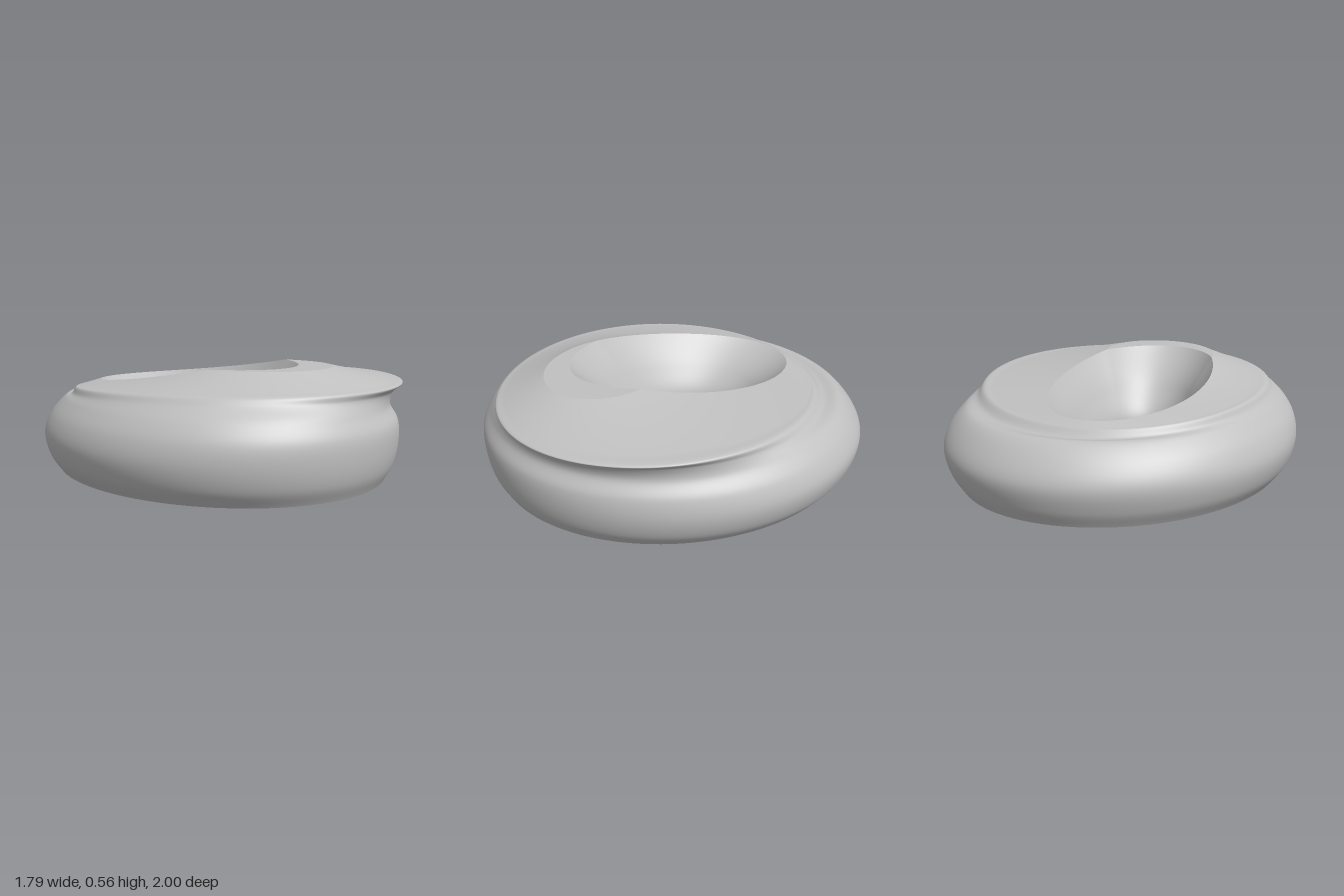
import * as THREE from 'three';

const SEG = 128;
const CLIP = 0.56; // height of the flat facet on the crest
const V = (x, y, z) => new THREE.Vector3(x, y, z);

// Cross-section rings, all sharing the angle t (from +x towards +z)
const body = (t, sx, sz, y) => V((0.893 * Math.cos(t) - 0.05 * Math.sin(t)) * sx, y, Math.sin(t) * sz);
const lip = (t) => {
  const s = Math.sin(t);
  return V(0.035 + 0.765 * Math.cos(t) + 0.06 * s, 0.437 + 0.035 * s + 0.025 * Math.cos(t) ** 2, 0.1 + 0.855 * s);
};
const rim = (t) => {
  const z = -0.085 + 0.615 * Math.sin(t);
  return V(-0.085 + 0.385 * Math.cos(t), 0.51 + 0.16 * z + 0.06 * z * z, z);
};
const throat = (t) => V(-0.087 + 0.202 * Math.cos(t), 0.17, -0.0625 + 0.283 * Math.sin(t));
const baseHole = (t) => V(-0.05 + 0.265 * Math.cos(t), 0, -0.03 + 0.365 * Math.sin(t));

// Fraction of the way from lip to rim where the crest is cut flat
const cut = (t) => {
  const a = lip(t).y, b = rim(t).y;
  return b > CLIP ? (CLIP - a) / (b - a) : 1;
};

// Outer wall, the undercut below the lip, then the sloping top
function outerProfile(t) {
  const upper = 0.91 + 0.045 * Math.sin(t);
  const u = body(t, upper, upper, 0.37);
  const l = lip(t), r = rim(t), c = cut(t);
  const inset = 1 - 0.022 * Math.max(0, Math.cos(t - 1.05));
  const groove = u.clone().lerp(l, 0.65);
  groove.x *= inset;
  groove.z *= inset;
  groove.y = l.y - 0.035;
  const pts = [body(t, 0.905, 0.94, 0), body(t, 0.97, 0.98, 0.08), body(t, 1, 1, 0.19),
    body(t, (1 + upper) / 2 + 0.018, (1 + upper) / 2 + 0.018, 0.29), u, groove, l];
  for (const k of [0.15, 0.4, 0.7, 1]) pts.push(l.clone().lerp(r, k * c));
  return new THREE.CatmullRomCurve3(pts).getPoints(80);
}

// Flat facet between the sloping top and the funnel edge
function facetProfile(t) {
  const a = lip(t).lerp(rim(t), cut(t)), b = rim(t);
  b.y = Math.min(b.y, CLIP);
  return [a, b];
}

// Funnel narrowing to a throat and flaring again at the base
function funnelProfile(t) {
  const r = rim(t), th = throat(t);
  r.y = Math.min(r.y, CLIP);
  const mid = r.clone().lerp(th, 0.62);
  mid.y = r.y + (th.y - r.y) * 0.5;
  return new THREE.CatmullRomCurve3([r, mid, th, baseHole(t)]).getPoints(32);
}

const baseProfile = (t) => [baseHole(t), body(t, 0.905, 0.94, 0)];

// Sweep a varying profile around the full turn
function sweep(profile) {
  const pos = [], index = [];
  let n = 0;
  for (let j = 0; j < SEG; j++) {
    const pts = profile((j / SEG) * Math.PI * 2);
    n = pts.length;
    for (const p of pts) pos.push(p.x, p.y, p.z);
  }
  for (let j = 0; j < SEG; j++) {
    const k = (j + 1) % SEG;
    for (let i = 0; i < n - 1; i++) {
      const a = j * n + i, b = k * n + i;
      index.push(a, a + 1, b, b, a + 1, b + 1);
    }
  }
  const g = new THREE.BufferGeometry();
  g.setAttribute('position', new THREE.Float32BufferAttribute(pos, 3));
  g.setIndex(index);
  g.computeVertexNormals();
  return g;
}

export function createModel() {
  const group = new THREE.Group();
  group.name = 'ring';
  const grey = new THREE.MeshStandardMaterial({ color: 0xc0c0c0 });
  grey.name = 'light grey';
  const parts = { outerShell: outerProfile, crestFacet: facetProfile, funnel: funnelProfile, underside: baseProfile };
  for (const [name, profile] of Object.entries(parts)) {
    const mesh = new THREE.Mesh(sweep(profile), grey);
    mesh.name = name;
    group.add(mesh);
  }
  return group;
}
